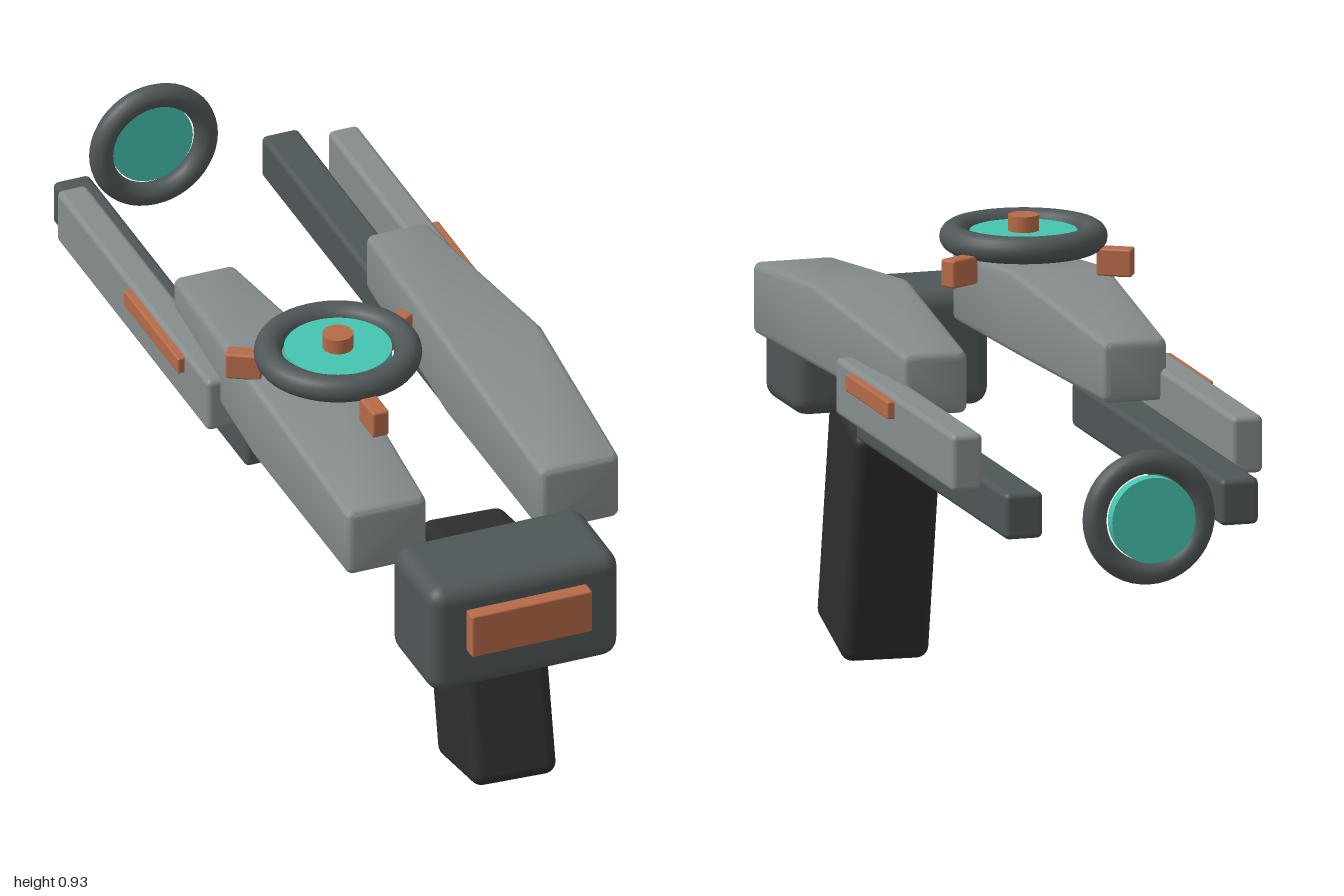
import * as THREE from 'three';
import { RoundedBoxGeometry } from 'three/addons/geometries/RoundedBoxGeometry.js';
import { toCreasedNormals } from 'three/addons/utils/BufferGeometryUtils.js';

const material = (name, color) => {
  const m = new THREE.MeshStandardMaterial({ color });
  m.name = name;
  return m;
};

// Loft of rounded rectangles along -z; each station is [z, halfWidth, bottom, top]
function loftArm(stations, radius) {
  const steps = 4, end = 0.015, rings = [];
  const ring = ([z, hw, y0, y1], inset) => {
    const pts = [], r = radius - inset * 0.5;
    const hx = hw - inset - r, hy = (y1 - y0) / 2 - inset - r, cy = (y0 + y1) / 2;
    [[1, 1], [-1, 1], [-1, -1], [1, -1]].forEach(([sx, sy], q) => {
      for (let i = 0; i <= steps; i++) {
        const a = (q + i / steps) * Math.PI / 2;
        pts.push([sx * hx + r * Math.cos(a), cy + sy * hy + r * Math.sin(a), z]);
      }
    });
    return pts;
  };
  const first = stations[0], last = stations[stations.length - 1];
  // Rounded ends
  const rounding = [0, 0.25, 0.5, 0.75, 1].map(t => t * Math.PI / 2);
  rounding.forEach(a => rings.push(ring([first[0] - end * (1 - Math.cos(a)), ...first.slice(1)], end * (1 - Math.sin(a)))));
  stations.slice(1, -1).forEach(s => rings.push(ring(s, 0)));
  rounding.reverse().forEach(a => rings.push(ring([last[0] + end * (1 - Math.cos(a)), ...last.slice(1)], end * (1 - Math.sin(a)))));

  const n = rings[0].length, index = [];
  for (let i = 0; i < rings.length - 1; i++) {
    for (let j = 0; j < n; j++) {
      const a = i * n + j, b = i * n + (j + 1) % n;
      index.push(a, a + n, b, b, a + n, b + n);
    }
  }
  const back = (rings.length - 1) * n;
  for (let j = 1; j < n - 1; j++) {
    index.push(0, j, j + 1, back, back + j + 1, back + j);
  }
  const g = new THREE.BufferGeometry();
  g.setAttribute('position', new THREE.Float32BufferAttribute(rings.flat(2), 3));
  g.setIndex(index);
  return toCreasedNormals(g, 0.6);
}

export function createModel() {
  const model = new THREE.Group();
  model.name = 'device';
  const grey = material('light grey', 0x858d8c);
  const dark = material('dark grey', 0x4f5657);
  const black = material('grip black', 0x2e2e2e);
  const copper = material('copper', 0xb56a48);
  const teal = material('teal', 0x45c4b0);

  const add = (name, geometry, mat, pos = [0, 0, 0], parent = model) => {
    const mesh = new THREE.Mesh(geometry, mat);
    mesh.name = name;
    mesh.position.set(...pos);
    parent.add(mesh);
    return mesh;
  };
  // Rounded box from its minimum and maximum corners
  const box = (name, mat, lo, hi, r) => add(name,
    new RoundedBoxGeometry(hi[0] - lo[0], hi[1] - lo[1], hi[2] - lo[2], 3, r), mat,
    lo.map((v, i) => (v + hi[i]) / 2));

  // Front block and its plate
  box('frontBlock', dark, [-0.205, 0.455, 0.75], [0.205, 0.695, 0.97], 0.035);
  box('frontPlate', copper, [-0.13, 0.55, 0.95], [0.13, 0.645, 1], 0.004);

  // Leaning grip
  const grip = add('grip', new RoundedBoxGeometry(0.18, 0.5, 0.24, 4, 0.025), black, [0.088, 0.271, 0.56]);
  grip.rotation.set(-0.23, -0.06, 0, 'YXZ');

  // Mirrored arms, rails and side strips
  const armGeometry = loftArm([
    [0.75, 0.086, 0.635, 0.782],
    [0.3, 0.103, 0.66, 0.825],
    [-0.208, 0.067, 0.657, 0.785],
  ], 0.015);
  for (const [side, s] of [['left', 1], ['right', -1]]) {
    const pair = (name, mat, x0, x1, y0, y1, z0, z1, r) =>
      box(side + name, mat, [Math.min(s * x0, s * x1), y0, z0], [Math.max(s * x0, s * x1), y1, z1], r);
    add(side + 'Arm', armGeometry, grey, [s * 0.208, 0, 0]);
    pair('UpperRail', grey, 0.26, 0.325, 0.605, 0.722, -0.69, 0.095, 0.012);
    pair('LowerRail', dark, 0.185, 0.265, 0.538, 0.633, -0.855, 0.15, 0.012);
    pair('SideStrip', copper, 0.315, 0.34, 0.677, 0.713, -0.305, -0.022, 0.004);
  }

  // Top dial with hub and three tabs
  const dial = new THREE.Group();
  dial.name = 'topDial';
  dial.position.set(-0.143, 0.89, 0.335);
  model.add(dial);
  add('dialRing', new THREE.TorusGeometry(0.14, 0.028, 16, 48), dark, [0, 0, 0], dial).rotation.x = Math.PI / 2;
  add('dialLens', new THREE.CylinderGeometry(0.108, 0.108, 0.03, 48), teal, [0, -0.003, 0], dial);
  add('dialHub', new THREE.CylinderGeometry(0.031, 0.031, 0.04, 24), copper, [0, 0.024, 0], dial);
  for (let i = 0; i < 3; i++) {
    const a = i * Math.PI * 2 / 3;
    const tab = add('dialTab', new RoundedBoxGeometry(0.036, 0.057, 0.072, 2, 0.005), copper,
      [Math.sin(a) * 0.188, -0.043, Math.cos(a) * 0.188], dial);
    tab.rotation.y = a;
  }

  // Rear lens
  add('rearRing', new THREE.TorusGeometry(0.113, 0.024, 16, 48), dark, [0, 0.592, -0.965]);
  add('rearLens', new THREE.CylinderGeometry(0.087, 0.087, 0.03, 48), teal, [0, 0.592, -0.985]).rotation.x = Math.PI / 2;

  return model;
}
